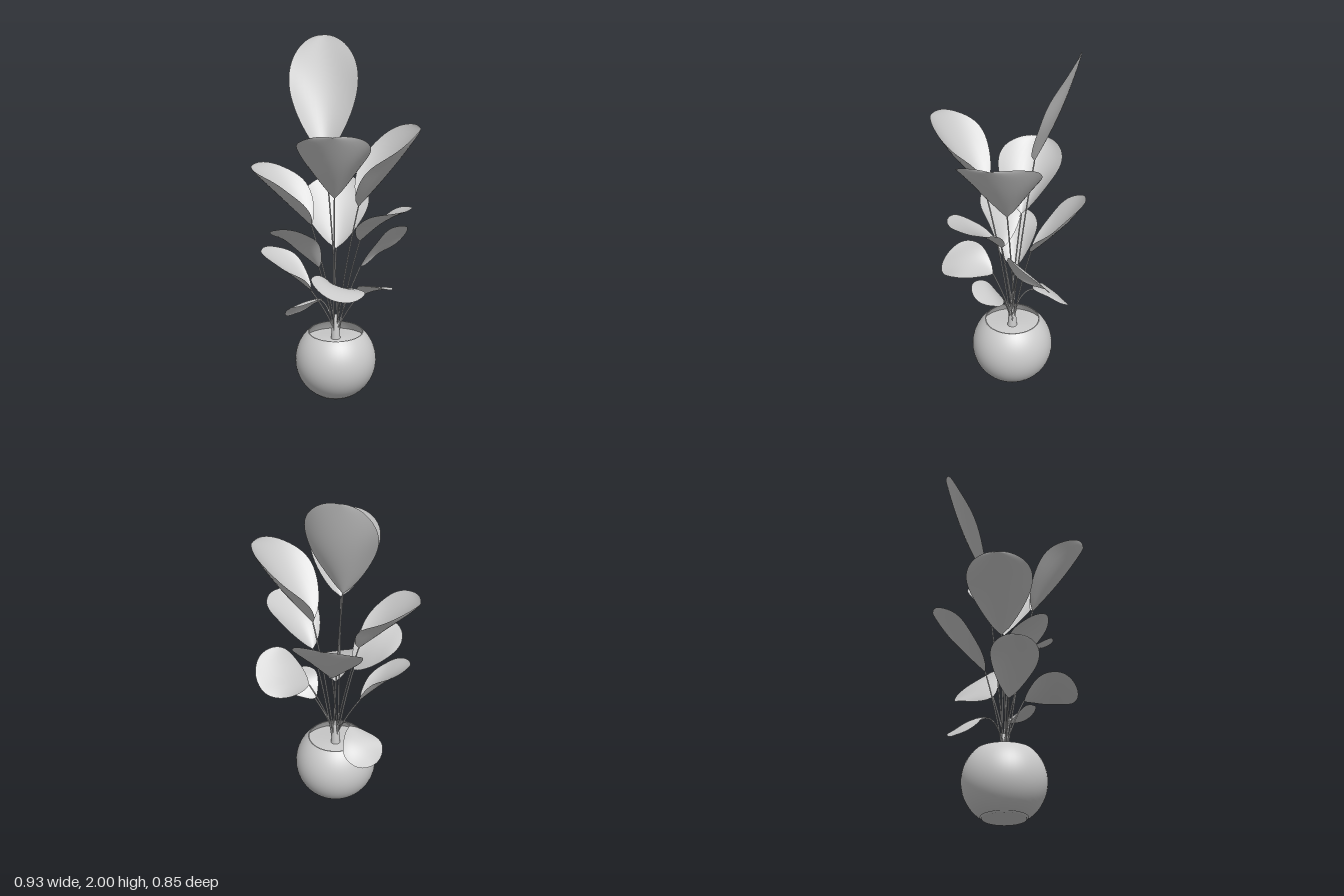
import * as THREE from 'three';

const V = (a) => new THREE.Vector3(...a);
const leafMat = new THREE.MeshStandardMaterial({ color: 0xcccccc, side: THREE.DoubleSide });
const potMat = new THREE.MeshStandardMaterial({ color: 0xcccccc });
const CX = 0.005, CZ = -0.025; // pot axis

// base, tip, width, cup = how far the edges lift, bow = lengthwise arch, roll about the midrib
const LEAVES = [
  { name: 'topLeaf', base: [-0.06, 1.37, -0.13], tip: [-0.09, 2.0, -0.365], width: 0.385, cup: 0.08, bow: -0.02, roll: -0.12 },
  { name: 'upperFrontLeaf', base: [0.01, 1.2, 0.13], tip: [0.02, 1.61, 0.425], width: 0.39, cup: 0.15, bow: -0.01 },
  { name: 'upperLeftLeaf', base: [0.13, 1.11, -0.03], tip: [0.465, 1.555, -0.03], width: 0.45, cup: 0.17, bow: -0.01, roll: 0.08 },
  { name: 'upperRightLeaf', base: [-0.13, 0.99, -0.04], tip: [-0.465, 1.32, -0.06], width: 0.36, cup: 0.14, bow: 0 },
  { name: 'backLeaf', base: [0, 0.83, -0.13], tip: [-0.02, 1.18, -0.425], width: 0.38, cup: 0.08, bow: -0.01, roll: -0.05 },
  { name: 'middleFrontLeftLeaf', base: [0.14, 0.92, 0.0], tip: [0.4, 1.16, 0.2], width: 0.29, cup: 0.06, bow: 0.02 },
  { name: 'middleBackLeftLeaf', base: [0.14, 0.74, -0.09], tip: [0.4, 0.92, -0.24], width: 0.29, cup: -0.01, bow: 0.03, roll: -0.8 },
  { name: 'middleFrontRightLeaf', base: [-0.08, 0.78, 0.06], tip: [-0.31, 1.03, 0.18], width: 0.26, cup: 0.03, bow: 0.03, roll: 0.45 },
  { name: 'lowerRightLeaf', base: [-0.13, 0.62, 0.0], tip: [-0.405, 0.865, 0.05], width: 0.26, cup: 0.07, bow: 0.01, roll: -0.15 },
  { name: 'lowerFrontLeftLeaf', base: [0.13, 0.59, 0.0], tip: [0.3, 0.68, 0.11], width: 0.21, cup: 0, bow: 0.035, roll: -0.35 },
  { name: 'lowerFrontLeaf', base: [0.03, 0.67, 0.08], tip: [0.02, 0.71, 0.375], width: 0.3, cup: 0.03, bow: 0.04, roll: -0.28 },
  { name: 'droopingBackLeaf', base: [-0.1, 0.52, -0.12], tip: [-0.25, 0.37, -0.27], width: 0.24, cup: -0.02, bow: 0.03, droop: true },
];

// Obovate blade: a plane bent along its midrib and cupped across it
function makeBlade({ name, base, tip, width, cup, bow, roll = 0 }, index) {
  const start = V(base), dir = V(tip).sub(start), length = dir.length();
  dir.normalize();
  const side = dir.clone().cross(V([0, 1, 0])).normalize().applyAxisAngle(dir, roll);
  const normal = side.clone().cross(dir);
  const geo = new THREE.PlaneGeometry(2, 1, 14, 28);
  const pos = geo.attributes.position, p = new THREE.Vector3();
  for (let i = 0; i < pos.count; i++) {
    const s = pos.getX(i);
    const t = Math.sin((pos.getY(i) + 0.5) * Math.PI / 2);
    const spread = Math.pow(Math.max(0, Math.sin(Math.PI * Math.pow(t, 1.5))), 0.46);
    const ripple = 0.006 * s * s * Math.sin(9 * t + 2 * s + index);
    // the cup is deep near the base and flattens toward the round tip
    const lift = cup * (1.28 - t) * s * s * spread + bow * Math.sin(Math.PI * t) + ripple * spread;
    p.copy(start)
      .addScaledVector(dir, t * length)
      .addScaledVector(side, s * spread * width / 2)
      .addScaledVector(normal, lift);
    pos.setXYZ(i, p.x, p.y, p.z);
  }
  geo.computeVertexNormals();
  const blade = new THREE.Mesh(geo, leafMat);
  blade.name = name;
  return blade;
}

// Thin stem rising from the centre and leaning out to the leaf
function makeStem({ name, base, droop }, index) {
  const a = index * 2.4;
  const from = V([CX + 0.016 * Math.cos(a), 0.32, CZ + 0.016 * Math.sin(a)]);
  const to = V(base);
  const bend = from.clone().lerp(to, droop ? 0.4 : 0.32);
  bend.y = droop ? to.y + 0.03 : from.y + (to.y - from.y) * 0.5;
  const curve = new THREE.QuadraticBezierCurve3(from, bend, to);
  const stem = new THREE.Mesh(new THREE.TubeGeometry(curve, 16, 0.004, 6), leafMat);
  stem.name = name + 'Stem';
  return stem;
}

function lathe(name, points, parent) {
  const mesh = new THREE.Mesh(
    new THREE.LatheGeometry(points.map(([x, y]) => new THREE.Vector2(x, y)), 48), potMat);
  mesh.name = name;
  parent.add(mesh);
}

export function createModel() {
  const model = new THREE.Group();
  model.name = 'pottedPlant';

  // Round pot with open mouth, inner wall and low foot
  const pot = new THREE.Group();
  pot.name = 'pot';
  pot.position.set(CX, 0, CZ);
  const wall = [];
  for (let i = 0; i <= 24; i++) {
    const a = THREE.MathUtils.lerp(-0.99, 0.83, i / 24);
    wall.push([0.23 * Math.cos(a), 0.2 + 0.23 * Math.sin(a)]);
  }
  lathe('potWall', wall, pot);
  lathe('potRim', [[0.155, 0.37], [0.15, 0.37]], pot);
  lathe('potInside', [[0.15, 0.37], [0.168, 0.345], [0.185, 0.31]], pot);
  lathe('potFoot', [[0, 0], [0.118, 0], [0.118, 0.012], [0.13, 0.014]], pot);
  lathe('soil', [[0.186, 0.312], [0.12, 0.318], [0.06, 0.326], [0, 0.33]], pot);
  // Short trunk where the stems gather
  lathe('trunk', [[0.028, 0.31], [0.024, 0.37], [0.019, 0.42], [0.012, 0.47], [0, 0.475]], pot);
  model.add(pot);

  // Leaves, each with its stem
  LEAVES.forEach((leaf, i) => {
    model.add(makeStem(leaf, i), makeBlade(leaf, i));
  });
  return model;
}
